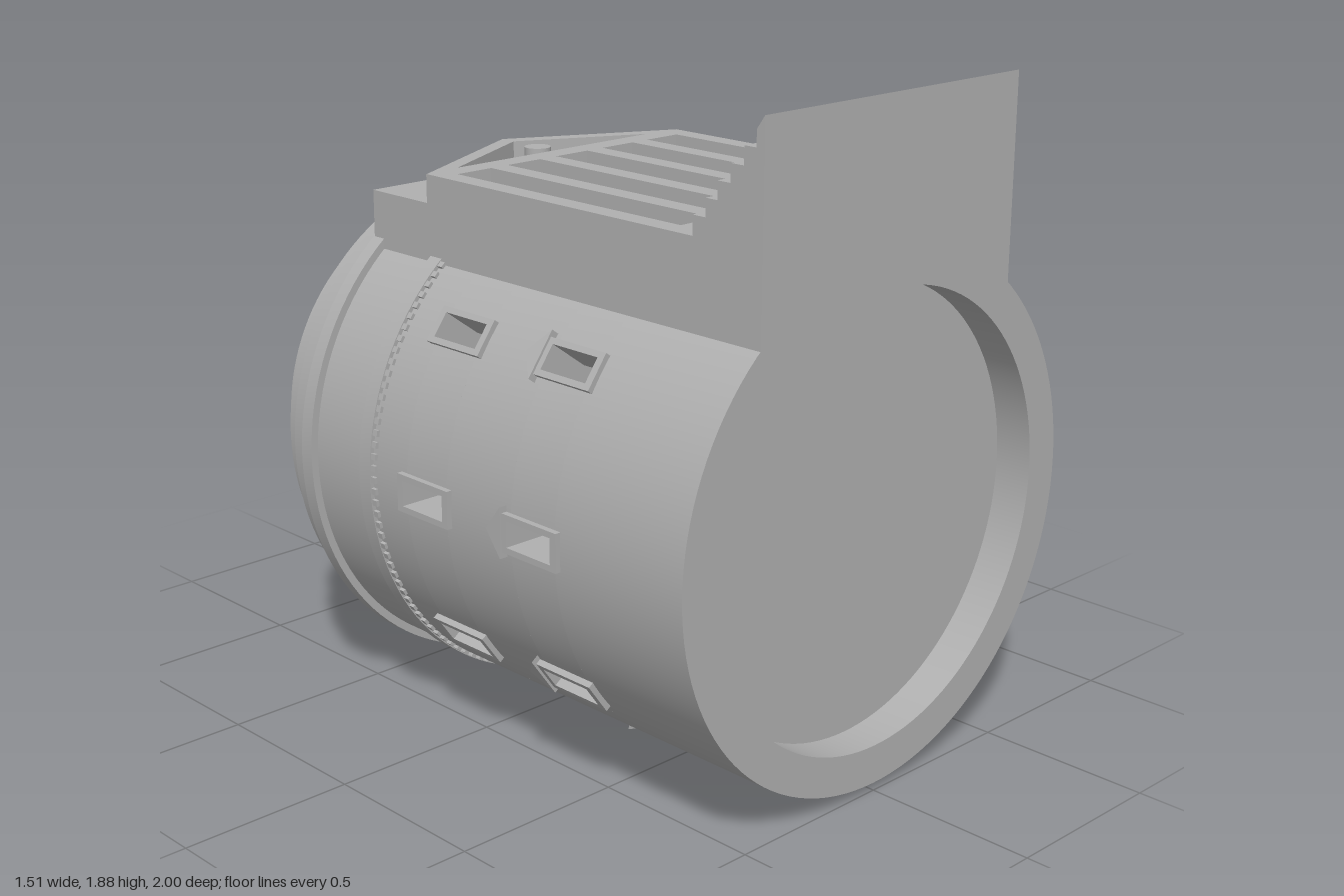
import * as THREE from 'three';
import { mergeGeometries, toCreasedNormals } from 'three/addons/utils/BufferGeometryUtils.js';

const stone = new THREE.MeshStandardMaterial({ color: 0xb0b0b0 });
stone.name = 'stone';

const AXIS = 0.762;              // height of the drum's axis, which lies along z
const R = 0.735, INNER = 0.625;  // drum wall radii
const WIDE = 0.48, FACE = 0.798; // portico half width and face height above the axis
const DEG = Math.PI / 180;

// The building lies on its back: its "up" is -z. Heights below are "up" values.

// Ring or solid turned about the drum axis, from [radius, up] pairs
function turned(profile, start = 0, length = 360) {
  const pts = profile.map(([r, up]) => new THREE.Vector2(r, up));
  const segs = Math.max(3, Math.round(length / 3));
  const g = new THREE.LatheGeometry(pts, segs, start * DEG, length * DEG);
  return toCreasedNormals(g.rotateX(-Math.PI / 2), 0.4);
}

const band = (r0, r1, u0, u1, start, length) =>
  turned([[r0, u0], [r1, u0], [r1, u1], [r0, u1], [r0, u0]], start, length);

const outline = (pts) => new THREE.Shape(pts.map(([x, y]) => new THREE.Vector2(x, y)));
const rect = (x0, x1, y0, y1) => [[x0, y0], [x1, y0], [x1, y1], [x0, y1]];

// Flat outline in (x, up), raised from radius r0 to r1, turned by phi around the drum
function raised(pts, hole, r0, r1, phi = 0) {
  const s = outline(pts);
  if (hole) s.holes.push(outline(hole));
  const g = new THREE.ExtrudeGeometry(s, { depth: r1 - r0, bevelEnabled: false });
  return g.translate(0, 0, r0).rotateX(-Math.PI / 2).rotateZ(-phi * DEG);
}

// Portico block with a curved underside that sits on the drum
function slab(x0, x1, u0, u1, top) {
  const pts = [[x1, top], [x0, top]];
  const n = 16;
  for (let i = 0; i <= n; i++) {
    const x = x0 + (x1 - x0) * i / n;
    pts.push([x, Math.sqrt(0.7 * 0.7 - x * x)]);
  }
  const g = new THREE.ExtrudeGeometry(outline(pts), { depth: u1 - u0, bevelEnabled: false });
  return g.translate(0, 0, 1 - 1 - u1);
}

export function createModel() {
  const model = new THREE.Group();
  model.name = 'rotunda';
  const body = new THREE.Group();
  body.name = 'building';
  body.position.y = AXIS;
  model.add(body);
  const add = (name, geometry) => {
    const m = new THREE.Mesh(geometry, stone);
    m.name = name;
    body.add(m);
    return m;
  };

  // Drum wall: full rings with two rows of openings between piers
  const rows = [[-0.553, -0.388], [-0.132, 0.033]];
  add('lowerWall', band(INNER, R, -1, rows[0][0]));
  add('middleWall', band(INNER, R, rows[0][1], rows[1][0]));
  add('upperWall', band(INNER, R, rows[1][1], 0.45));
  add('floor', turned([[0, -0.89], [0.63, -0.89], [0.63, -0.86], [0, -0.86]]));

  // Opening edges in degrees around the drum, the first and last lie inside the portico
  const gaps = [];
  for (let k = 0; k < 10; k++) {
    const a = 18 + 36 * k;
    if (k === 0) gaps.push([12.2, 21.6]);
    else if (k === 9) gaps.push([338.4, 347.8]);
    else gaps.push([a - 3.2, a + 3.2]);
  }
  rows.forEach(([u0, u1], row) => {
    gaps.forEach((g, k) => {
      const next = k < 9 ? gaps[k + 1][0] : gaps[0][0] + 360;
      add('pier', band(INNER, R, u0, u1, g[1], next - g[1]));
      if (k === 0 || k === 9) {
        // plain openings behind the portico columns
        const s = k === 0 ? 1 : -1;
        const box = (a, b, lo, hi) => rect(Math.min(s * a, s * b), Math.max(s * a, s * b), lo, hi);
        add('porticoWindow', raised(box(0.145, 0.275, u0 - 0.01, u1 + 0.01), box(0.16, 0.226, u0, u1), 0.58, 0.69));
        return;
      }
      const phi = 18 + 36 * k;
      add('windowFrame', raised(rect(-0.053, 0.053, u0 - 0.021, u1 + 0.021),
        rect(-0.036, 0.036, u0, u1), 0.618, 0.75, phi));
      if (row === 0) {
        const b = u1 + 0.021;
        add('windowGable', raised([[-0.07, b - 0.004], [0.07, b - 0.004], [0, b + 0.05]], null, 0.69, 0.757, phi));
      }
    });
  });

  // Moulding with a row of dentils, interrupted by the portico
  add('moulding', band(0.7, 0.747, 0.178, 0.225));
  const teeth = [];
  for (let i = 0; i < 140; i++) {
    const a = i / 140 * Math.PI * 2;
    if (Math.cos(a) > 0 && Math.abs(Math.sin(a)) * R < WIDE) continue;
    teeth.push(new THREE.BoxGeometry(0.017, 0.04, 0.02).translate(0, 0.724, -0.17).rotateZ(-a));
  }
  add('dentils', mergeGeometries(teeth));

  // Cornice and stepped dome
  add('dome', turned([
    [0, 0.43], [0.757, 0.43], [0.757, 0.475], [0.727, 0.475], [0.72, 0.56],
    [0.675, 0.56], [0.667, 0.655], [0.615, 0.655], [0.606, 0.71],
    [0.577, 0.71], [0.572, 0.785], [0.493, 0.785], [0.493, 0.84],
    [0.415, 0.84], [0.365, 0.87], [0.31, 0.898], [0.255, 0.917], [0.255, 0.933], [0, 1],
  ]));

  // Portico: base, six columns, entablature and the lower block behind the gable
  add('porticoBase', slab(-WIDE, WIDE, -1, -0.674, FACE));
  const edges = [-WIDE, -0.42, -0.3, -0.24, -0.12, -0.06, 0.06, 0.12, 0.24, 0.3, 0.42, WIDE];
  for (let i = 0; i < 12; i += 2) add('column', slab(edges[i], edges[i + 1], -0.674, 0.175, FACE));
  add('entablature', slab(-WIDE, WIDE, 0.175, 0.235, FACE));
  add('gableBlock', slab(-WIDE, WIDE, 0.235, 0.472, 0.718));

  // Gable with a sunken triangle and a round boss
  add('gable', raised([[-WIDE, 0.233], [WIDE, 0.233], [0, 0.475]],
    [[-0.365, 0.242], [0.365, 0.242], [0, 0.425]], 0.7, FACE));
  add('tympanum', raised([[-0.4, 0.236], [0.4, 0.236], [0, 0.435]], null, 0.7, 0.745));
  const boss = new THREE.CylinderGeometry(0.038, 0.038, 0.07, 32).translate(0, 0.763, -0.32);
  add('boss', boss);

  // Entrance steps, drawn in side profile (z, y) and swept across the portico
  const profile = [[1, FACE - 0.01], [1, 1.118], [0.975, 1.083]];
  const treads = [0.975, 0.937, 0.895, 0.853, 0.815, 0.773];
  treads.forEach((z, i) => {
    const y = 1.04 - i * 0.0475;
    profile.push([z, y]);
    if (i < 5) profile.push([treads[i + 1], y]);
  });
  profile.push([0.773, FACE - 0.01]);
  const steps = new THREE.ExtrudeGeometry(outline(profile), { depth: 2 * WIDE, bevelEnabled: false });
  add('steps', steps.translate(0, 0, -WIDE).rotateY(-Math.PI / 2).scale(1, 1, 1));

  return model;
}
